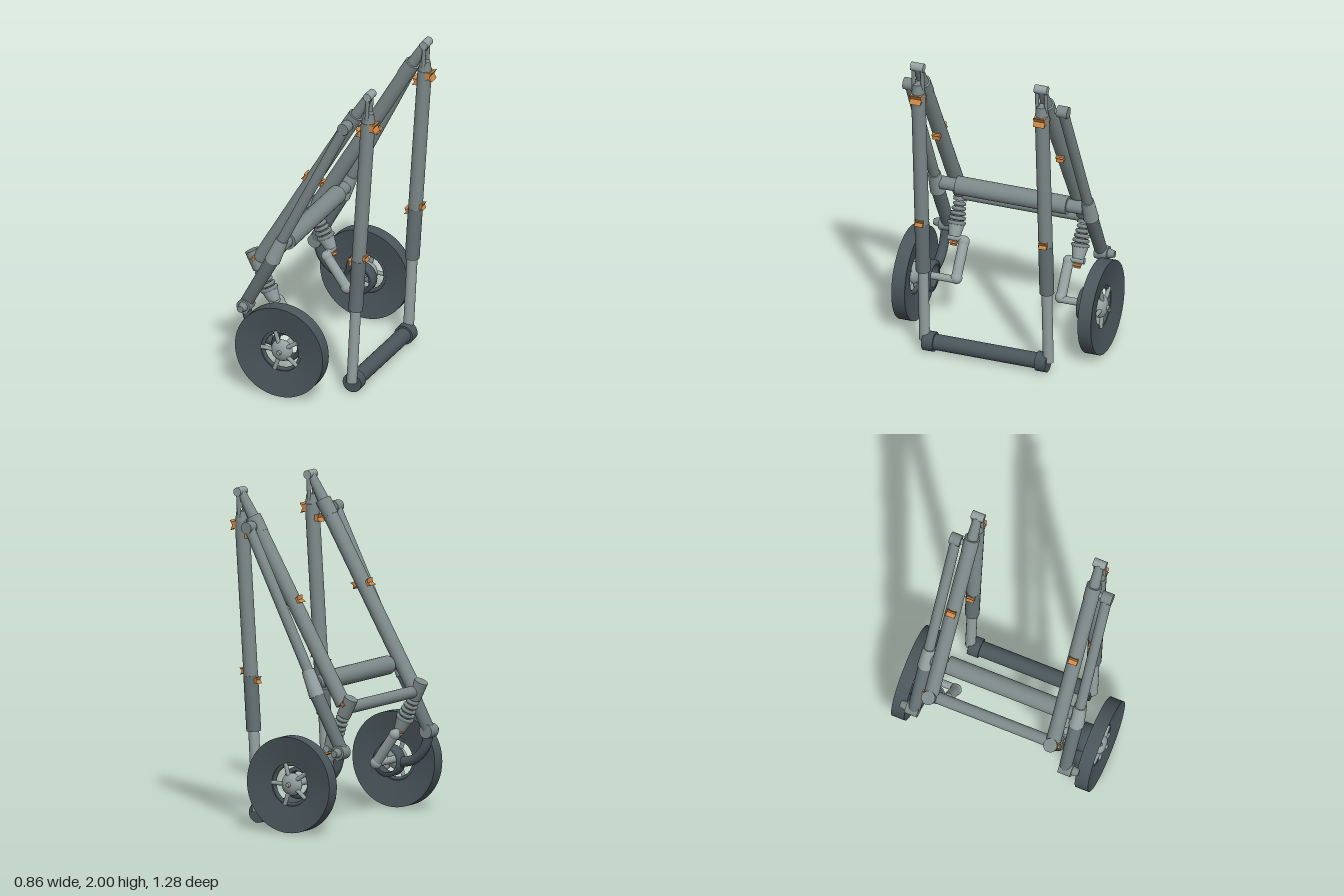
import * as THREE from 'three';

const mat = (name, color) => {
  const m = new THREE.MeshStandardMaterial({ color });
  m.name = name;
  return m;
};

export function createModel() {
  const root = new THREE.Group();
  root.name = 'wheeledFrame';
  const grey = mat('steel grey', 0x7d8989);
  const light = mat('light steel', 0x95a1a1);
  const slate = mat('slate sleeve', 0x657174);
  const dark = mat('dark rubber', 0x4a565b);
  const orange = mat('orange clip', 0xd08a48);

  const V = (x, y, z) => new THREE.Vector3(x, y, z);
  const add = (parent, name, geo, m, pos) => {
    const mesh = new THREE.Mesh(geo, m);
    mesh.name = name;
    if (pos) mesh.position.copy(pos);
    parent.add(mesh);
    return mesh;
  };
  // Round bar from a to b, optionally tapered
  const rod = (parent, name, a, b, r, m, r2 = r, sides = 24) => {
    const d = b.clone().sub(a);
    const mesh = add(parent, name, new THREE.CylinderGeometry(r2, r, d.length(), sides), m,
      a.clone().add(b).multiplyScalar(0.5));
    mesh.quaternion.setFromUnitVectors(V(0, 1, 0), d.normalize());
    return mesh;
  };
  const ball = (parent, name, p, r, m) => add(parent, name, new THREE.SphereGeometry(r, 24, 14), m, p);
  // Solid of revolution whose axis points along z
  const spin = (pts, n = 48) => new THREE.LatheGeometry(pts.map(p => new THREE.Vector2(...p)), n).rotateX(Math.PI / 2);

  // Notched clip, with its waist against the tube and its wings pointing away
  const clipShape = new THREE.Shape();
  [[-0.028, -0.01], [0.028, -0.01], [0.02, 0.012], [0.03, 0.034], [0, 0.018], [-0.03, 0.034], [-0.02, 0.012]]
    .forEach(([x, y], i) => (i ? clipShape.lineTo(x, y) : clipShape.moveTo(x, y)));
  const clipGeo = new THREE.ExtrudeGeometry(clipShape, { depth: 0.07, bevelEnabled: false }).translate(0, 0, -0.035);
  const clip = (parent, x, y, z, angle, s = 1) => {
    const c = add(parent, 'clip', clipGeo, orange, V(x, y, z));
    c.rotation.z = angle;
    c.scale.set(s, s, s);
  };

  const buildWheel = () => {
    const g = new THREE.Group();
    g.name = 'wheel';
    // Tyre with dished faces and an open centre, split by surface to keep edges sharp
    [[[0.287, -0.042], [0.287, 0.042]], [[0.287, 0.042], [0.13, 0.015]],
      [[0.13, 0.015], [0.13, -0.015]], [[0.13, -0.015], [0.287, -0.042]]].forEach(p => {
      const m = dark;
      add(g, 'tyre', spin(p.map(([r, z]) => [r, -z]).reverse(), 64), m);
    });
    add(g, 'rim', new THREE.TorusGeometry(0.122, 0.013, 10, 48), dark);
    // Hub and five spokes
    const hub = ball(g, 'hub', V(0, 0, 0), 0.068, light);
    hub.scale.z = 0.6;
    rod(g, 'hubCap', V(0, 0, 0.02), V(0, 0, 0.052), 0.02, light, 0.012);
    for (let i = 0; i < 5; i++) {
      const a = Math.PI / 2 + 0.3 + i * Math.PI * 0.4, c = Math.cos(a), s = Math.sin(a);
      rod(g, 'spoke', V(c * 0.05, s * 0.05, 0.012), V(c * 0.13, s * 0.13, 0.012), 0.013, light, 0.013, 10);
    }
    return g;
  };

  for (const s of [1, -1]) {
    const side = new THREE.Group();
    side.name = s > 0 ? 'frontSide' : 'backSide';
    root.add(side);
    const P = (x, y, z) => V(x, y, z * s);
    const zi = 0.39, zo = 0.483;

    // Telescopic leg
    rod(side, 'legUpper', P(0.306, 0.88, zi), P(0.367, 1.8, zi), 0.043, grey);
    rod(side, 'legSleeve', P(0.285, 0.55, zi), P(0.306, 0.88, zi), 0.044, slate);
    rod(side, 'legLower', P(0.26, 0.07, zi), P(0.287, 0.58, zi), 0.032, light);

    // Forked hinge at the top
    rod(side, 'legNeck', P(0.367, 1.79, zi), P(0.371, 1.86, zi), 0.042, grey, 0.03);
    for (const dz of [-0.028, 0.028])
      rod(side, 'forkProng', P(0.37, 1.82, zi + dz), P(0.377, 1.975, zi + dz), 0.012, grey, 0.012, 12);
    rod(side, 'hingePin', P(0.377, 1.975, zi - 0.04), P(0.377, 1.975, zi + 0.04), 0.026, light);

    // Main brace with its collar and narrow tip
    rod(side, 'mainBrace', P(-0.34, 0.76, zi), P(0.29, 1.83, zi), 0.045, grey);
    rod(side, 'braceTip', P(0.27, 1.8, zi), P(0.375, 1.975, zi), 0.036, grey, 0.026);
    rod(side, 'braceCollar', P(0.235, 1.74, zi), P(0.29, 1.83, zi), 0.047, grey);

    // Outer strut: thin upper tube, joint sleeve, dark lower tube
    rod(side, 'strutUpper', P(-0.17, 0.92, zo), P(0.26, 1.78, zo), 0.032, grey);
    rod(side, 'strutJoint', P(-0.215, 0.81, zo), P(-0.15, 0.96, zo), 0.047, light, 0.038);
    rod(side, 'strutLower', P(-0.385, 0.5, zo), P(-0.2, 0.84, zo), 0.038, slate, 0.042);
    rod(side, 'strutTopKnuckle', P(0.26, 1.78, 0.45), P(0.26, 1.78, 0.518), 0.036, grey);
    rod(side, 'strutTopPin', P(0.26, 1.78, 0.37), P(0.26, 1.78, 0.5), 0.017, light);
    rod(side, 'lowerKnuckle', P(-0.385, 0.49, 0.45), P(-0.385, 0.49, 0.53), 0.043, grey);
    rod(side, 'knuckleBolt', P(-0.385, 0.49, 0.53), P(-0.385, 0.49, 0.57), 0.03, grey, 0.02);

    // Shock absorber: socket, rod, coils and bulb
    const top = P(-0.395, 0.8, zi), low = P(-0.245, 0.5, zi);
    const along = t => top.clone().lerp(low, t);
    rod(side, 'shockSocket', top, along(0.36), 0.042, grey);
    rod(side, 'shockRod', along(0.3), low, 0.024, light);
    const dir = low.clone().sub(top).normalize();
    for (let i = 0; i < 5; i++) {
      const coil = add(side, 'shockCoil', new THREE.TorusGeometry(0.028 + i * 0.004, 0.012, 8, 24), grey, along(0.42 + i * 0.085));
      coil.quaternion.setFromUnitVectors(V(0, 0, 1), dir);
    }
    rod(side, 'shockBase', along(0.78), low, 0.05, light, 0.035);

    // Inner swing arm with rounded ends
    const armTop = P(-0.245, 0.475, 0.33), armEnd = P(-0.115, 0.295, 0.33);
    rod(side, 'swingArm', armTop, armEnd, 0.031, light);
    ball(side, 'swingArmTop', armTop, 0.034, light);
    ball(side, 'swingArmEnd', armEnd, 0.036, light);
    rod(side, 'swingArmPin', P(-0.245, 0.49, 0.33), P(-0.245, 0.49, 0.43), 0.02, light);

    // Trailing arm curving down to a ring around the axle
    const bend = new THREE.CatmullRomCurve3([P(-0.385, 0.48, 0.495), P(-0.35, 0.38, 0.495), P(-0.28, 0.31, 0.495), P(-0.19, 0.285, 0.495)]);
    add(side, 'trailingArm', new THREE.TubeGeometry(bend, 20, 0.03, 12), dark);
    const ring = add(side, 'axleRing', spin([[0.07, -0.032], [0.096, -0.032], [0.096, 0.032], [0.07, 0.032], [0.07, -0.032]], 32),
      dark, P(-0.104, 0.289, 0.495));
    ring.material = dark;
    rod(side, 'axle', P(-0.104, 0.289, 0.32), P(-0.104, 0.289, 0.6), 0.022, light);

    // Wheel
    const wheel = buildWheel();
    wheel.position.copy(P(-0.104, 0.289, 0.587));
    if (s < 0) wheel.rotation.y = Math.PI;
    side.add(wheel);

    // Orange clips
    const z = zi * s;
    clip(side, 0.395, 1.775, z, -Math.PI / 2 - 0.07);
    clip(side, 0.327, 1.72, z, Math.PI / 2 - 0.07, 0.85);
    clip(side, 0.343, 0.905, z, -Math.PI / 2 - 0.07, 0.7);
    clip(side, 0.268, 0.855, z, Math.PI / 2 - 0.07, 0.7);
    clip(side, -0.026, 1.355, z, Math.PI / 2 - 0.52, 0.8);
    clip(side, 0.055, 1.345, z, -Math.PI / 2 - 0.52, 0.7);
    clip(side, -0.36, 0.765, z + 0.035 * s, 0.9, 0.5);
    clip(side, -0.235, 0.46, z, -0.5, 0.6);

    // End fittings of the cross members
    rod(side, 'footCollar', P(0.26, 0.062, 0.322), P(0.26, 0.062, 0.39), 0.06, dark);
    rod(side, 'crossTubeEnd', P(-0.185, 0.885, 0.34), P(-0.185, 0.885, 0.45), 0.04, grey);
  }

  // Cross members joining both sides
  rod(root, 'crossTube', V(-0.185, 0.885, -0.35), V(-0.185, 0.885, 0.35), 0.056, grey);
  rod(root, 'rearCrossTube', V(-0.35, 0.735, -0.37), V(-0.35, 0.735, 0.37), 0.036, grey);
  rod(root, 'footBar', V(0.26, 0.062, -0.33), V(0.26, 0.062, 0.33), 0.048, dark);

  return root;
}
